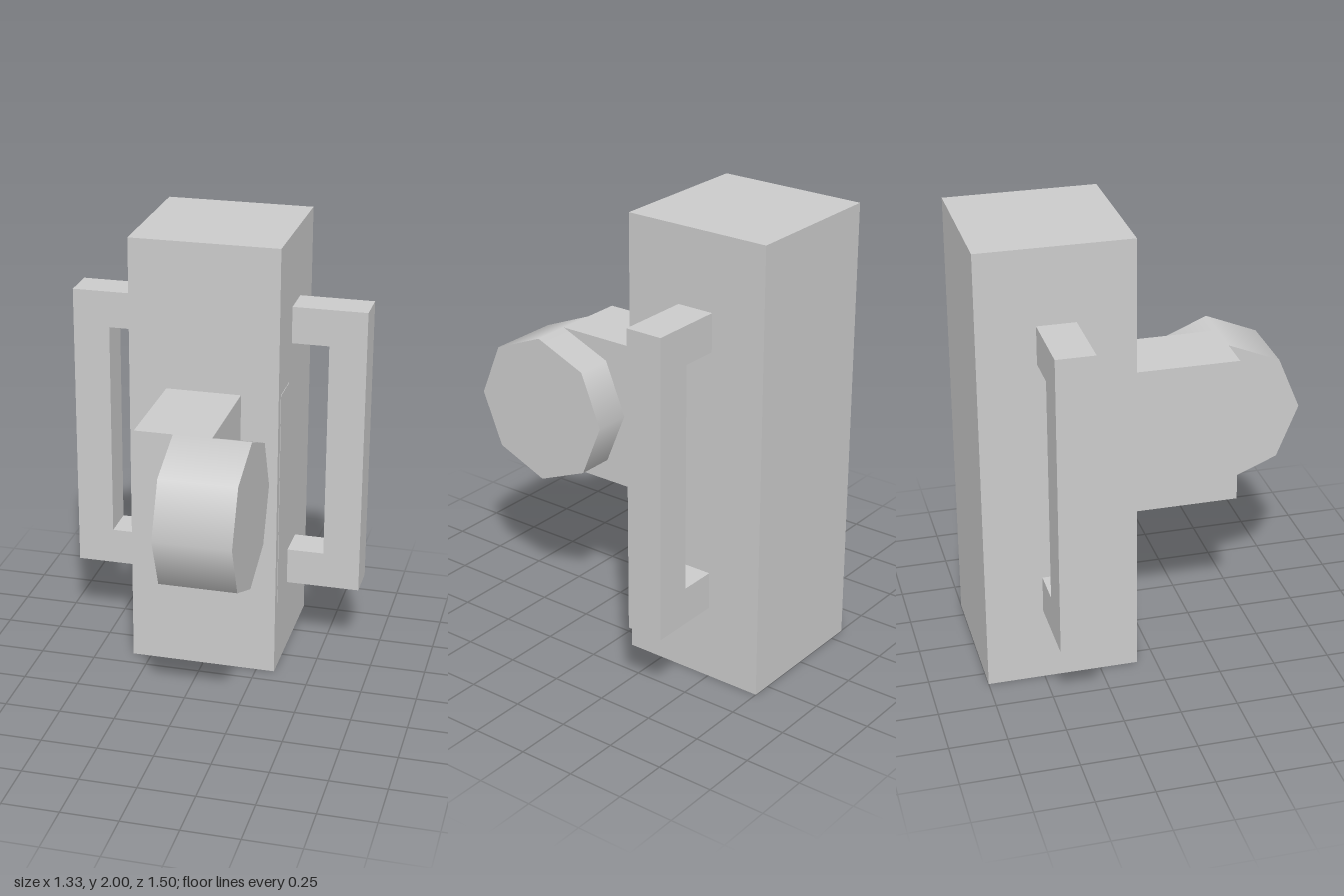
import * as THREE from 'three';

export function createModel() {
  const group = new THREE.Group();
  const material = new THREE.MeshStandardMaterial({ color: 0xcccccc });
  const T = 1 / 3, S = 1 / 6;

  const add = (name, geometry, x = 0, y = 0, z = 0) => {
    const mesh = new THREE.Mesh(geometry, material);
    mesh.name = name;
    mesh.position.set(x, y, z);
    group.add(mesh);
    return mesh;
  };

  // Upright body, set back from the centre
  add('body', new THREE.BoxGeometry(2 * T, 2, 2 * T), 0, 1, -0.75 + T);

  // C-shaped side handles, mirrored by turning half round
  const outline = [
    [T, T], [2 * T, T], [2 * T, 5 * T], [T, 5 * T],
    [T, 1.5], [0.5, 1.5], [0.5, 0.5], [T, 0.5],
  ].map(([x, y]) => new THREE.Vector2(x, y));
  const handleGeometry = new THREE.ExtrudeGeometry(new THREE.Shape(outline), {
    depth: S, bevelEnabled: false,
  }).translate(0, 0, -S / 2);
  add('leftHandle', handleGeometry, 0, 0, -2.5 * S);
  add('rightHandle', handleGeometry, 0, 0, -2.5 * S).rotation.y = Math.PI;

  // Arm reaching forward from the body
  add('arm', new THREE.BoxGeometry(T, 2 * T, 0.5), 0, 1, S);

  // Eight-sided drum with smooth sides, on a sideways axis
  const drum = new THREE.CylinderGeometry(T, T, T, 8).rotateZ(-Math.PI / 2);
  add('drum', drum, S, 1, 0.75 - T);

  // Thin strip nearly flush with the left face of the body
  add('sideStrip', new THREE.BoxGeometry(0.02, 1, S), T - 0.008, 5 * S, -0.207);

  return group;
}
